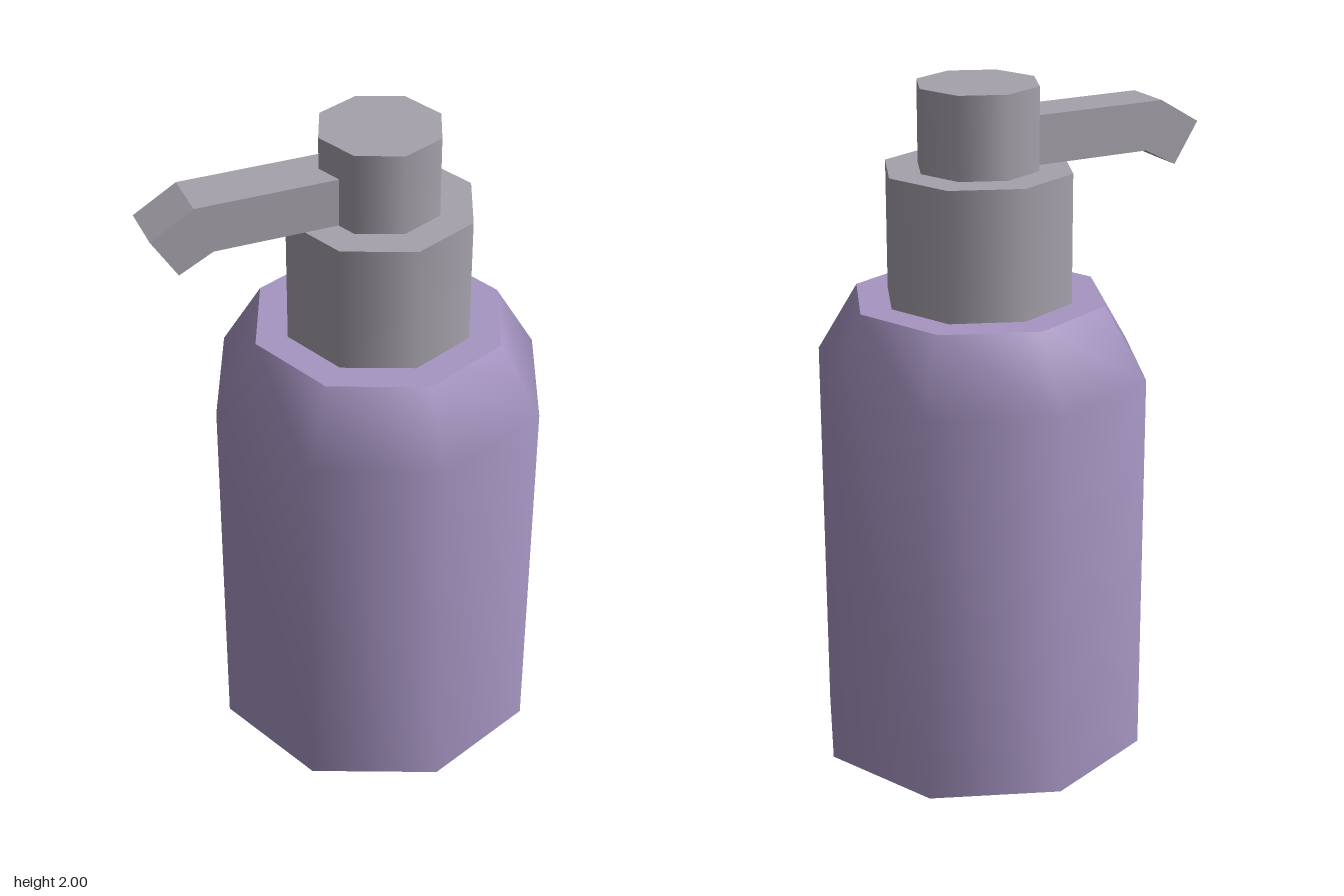
import * as THREE from 'three';

const SIDES = 8;
const AXIS_X = 0.09;

export function createModel() {
  const model = new THREE.Group();
  const lilac = new THREE.MeshStandardMaterial({ color: 0xa695c2 });
  lilac.name = 'lilac';
  const grey = new THREE.MeshStandardMaterial({ color: 0xa5a1ab });
  grey.name = 'grey';

  const add = (parent, name, geometry, material) => {
    const mesh = new THREE.Mesh(geometry, material);
    mesh.name = name;
    parent.add(mesh);
    return mesh;
  };

  // Bottle: smooth octagonal wall and shoulder, closed by flat discs
  const bottle = new THREE.Group();
  bottle.name = 'bottle';
  bottle.position.x = AXIS_X;
  model.add(bottle);
  const profile = [[0.5, 0], [0.5, 1.17], [0.375, 1.38]].map(([r, y]) => new THREE.Vector2(r, y));
  add(bottle, 'bottleWall', new THREE.LatheGeometry(profile, SIDES), lilac);
  add(bottle, 'bottleBase', new THREE.CircleGeometry(0.5, SIDES), lilac).rotation.x = Math.PI / 2;
  const top = add(bottle, 'bottleTop', new THREE.CircleGeometry(0.375, SIDES), lilac);
  top.rotation.x = -Math.PI / 2;
  top.position.y = 1.38;

  // Pump collar and head: stacked octagonal cylinders
  for (const [name, r, y0, y1] of [['collar', 0.278, 1.38, 1.76], ['pumpHead', 0.18, 1.76, 2]]) {
    const part = add(model, name, new THREE.CylinderGeometry(r, r, y1 - y0, SIDES), grey);
    part.position.set(AXIS_X, (y0 + y1) / 2, 0);
  }

  // Spout: flat-sided arm with a bent-down tip
  const outline = [[-0.06, 1.762], [-0.06, 1.905], [-0.47, 1.905], [-0.595, 1.83], [-0.52, 1.71], [-0.42, 1.762]];
  const shape = new THREE.Shape(outline.map(([x, y]) => new THREE.Vector2(x, y)));
  const spout = new THREE.ExtrudeGeometry(shape, { depth: 0.15, bevelEnabled: false });
  spout.translate(0, 0, -0.075);
  add(model, 'spout', spout, grey);

  return model;
}
